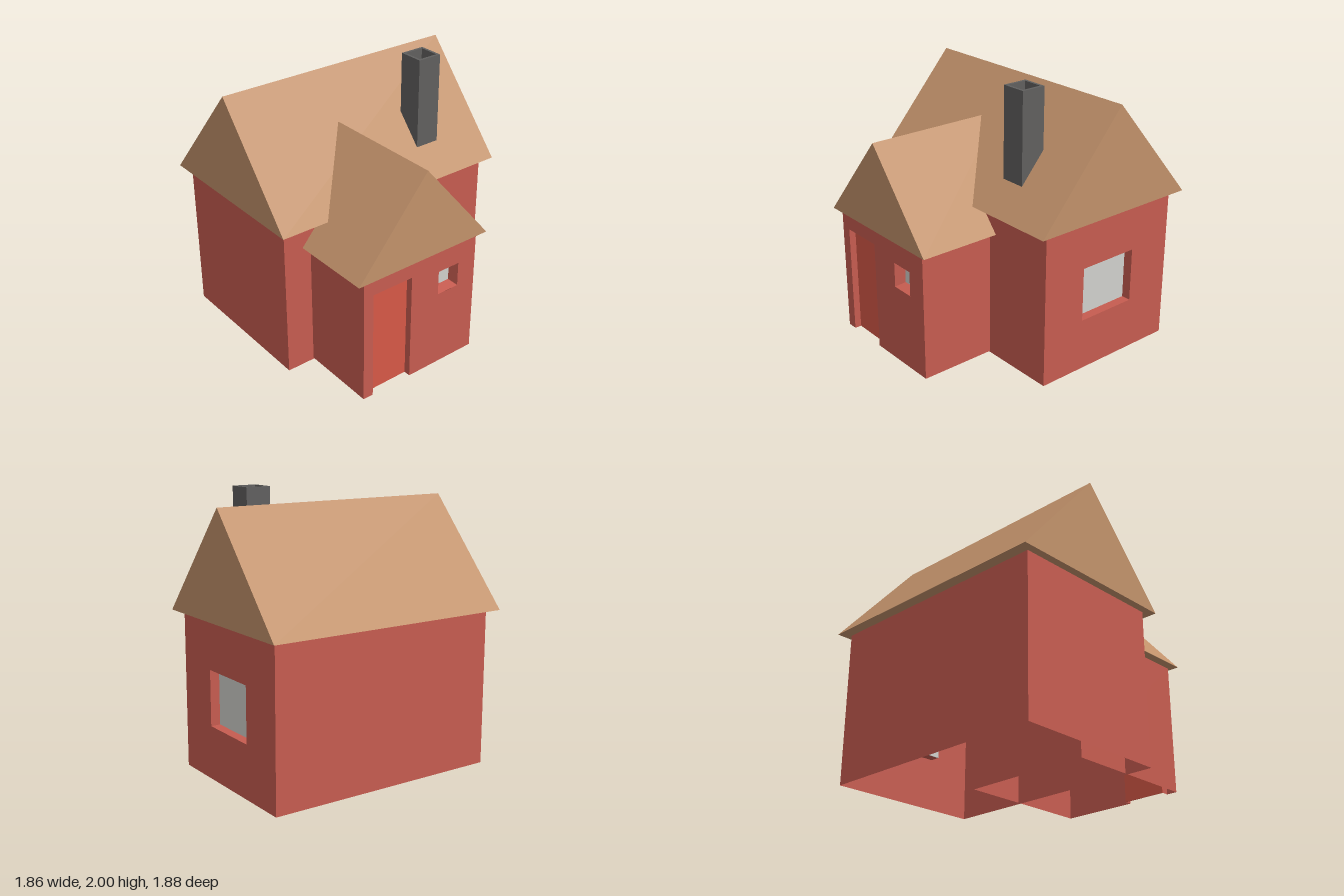
import * as THREE from 'three';

const mat = (name, color, side = THREE.FrontSide) => {
  const m = new THREE.MeshStandardMaterial({ color, side });
  m.name = name;
  return m;
};

const points = (list) => list.map(([x, y]) => new THREE.Vector2(x, y));
const rect = (x0, y0, x1, y1) => points([[x0, y0], [x1, y0], [x1, y1], [x0, y1]]);

// Outline with one rectangular hole
function holedShape(outline, hole) {
  const shape = new THREE.Shape(outline);
  shape.holes.push(new THREE.Path(rect(...hole)));
  return shape;
}

// Gable prism along z; the far end leans back slightly at the ridge
function gable(halfWidth, height, length, lean) {
  const shape = new THREE.Shape(points([[-halfWidth, 0], [halfWidth, 0], [0, height]]));
  const geo = new THREE.ExtrudeGeometry(shape, { depth: length, bevelEnabled: false });
  const p = geo.attributes.position;
  for (let i = 0; i < p.count; i++) {
    if (p.getY(i) > height - 0.001 && p.getZ(i) > length - 0.001) p.setZ(i, length - lean);
  }
  geo.computeVertexNormals();
  return geo;
}

// Box given by its min and max corners
function block(x0, y0, z0, x1, y1, z1) {
  return new THREE.BoxGeometry(x1 - x0, y1 - y0, z1 - z0)
    .translate((x0 + x1) / 2, (y0 + y1) / 2, (z0 + z1) / 2);
}

// Box with only the chosen sides: right, left, top, bottom, front, back
const SIDES = ['right', 'left', 'top', 'bottom', 'front', 'back'];
function openBlock(corners, sides) {
  const geo = block(...corners);
  const index = Array.from(geo.index.array);
  geo.setIndex(sides.flatMap((s) => {
    const start = SIDES.indexOf(s) * 6;
    return index.slice(start, start + 6);
  }));
  geo.clearGroups();
  return geo;
}

export function createModel() {
  const house = new THREE.Group();
  house.name = 'house';
  const wall = mat('wall red', 0xc65c50, THREE.DoubleSide);
  const roof = mat('roof tan', 0xc1916a);
  const doorRed = mat('door red', 0xd65847);
  const stone = mat('chimney grey', 0x605f5e);
  const glass = mat('window grey', 0xd0d0cc);
  const add = (name, geo, material) => {
    const m = new THREE.Mesh(geo, material);
    m.name = name;
    house.add(m);
  };

  // Main block: hollow shell without a floor, window set into the back
  add('mainWalls', openBlock([-0.85, 0, -0.885, 0.32, 1.14, 0.885],
    ['right', 'left', 'top', 'front']), wall);
  add('backWall', new THREE.ShapeGeometry(
    holedShape(rect(-0.85, 0, 0.32, 1.14), [-0.5, 0.385, -0.03, 0.785]))
    .translate(0, 0, -0.885), wall);
  add('backWindowReveal', openBlock([-0.5, 0.385, -0.885, -0.03, 0.785, -0.815],
    ['right', 'left', 'top', 'bottom']), wall);
  add('backWindow', block(-0.5, 0.385, -0.815, -0.03, 0.785, -0.809), glass);
  add('mainRoof', gable(0.665, 0.77, 1.88, 0.01).translate(-0.265, 1.14, -0.94), roof);

  // Side wing: second hollow shell running into the main block
  add('wingWalls', openBlock([-0.13, 0.01, -0.31, 0.895, 0.96, 0.672],
    ['left', 'top', 'front', 'back']), wall);
  const doorway = points([[-0.672, 0.01], [-0.593, 0.01], [-0.593, 0.828], [-0.265, 0.828],
    [-0.265, 0.01], [0.31, 0.01], [0.31, 0.96], [-0.672, 0.96]]);
  add('wingEndWall', new THREE.ShapeGeometry(holedShape(doorway, [-0.024, 0.592, 0.156, 0.776]))
    .rotateY(Math.PI / 2).translate(0.895, 0, 0), wall);
  add('doorReveal', openBlock([0.845, 0.01, 0.265, 0.895, 0.828, 0.593],
    ['top', 'front', 'back']), wall);
  add('door', block(0.839, 0.01, 0.265, 0.845, 0.828, 0.593), doorRed);
  add('wingRoof', gable(0.556, 0.65, 1.088, 0.006).rotateY(Math.PI / 2)
    .translate(-0.16, 0.96, 0.181), roof);

  // Wing window with splayed reveals
  const r = Math.SQRT2;
  const splay = new THREE.CylinderGeometry(0.091 * r, 0.077 * r, 0.08, 4, 1, true, Math.PI / 4)
    .rotateZ(-Math.PI / 2).toNonIndexed();
  splay.computeVertexNormals();
  add('wingWindowReveal', splay.translate(0.855, 0.684, -0.066), wall);
  add('wingWindow', block(0.809, 0.607, -0.143, 0.815, 0.761, 0.011), glass);

  // Chimney with a hollow top
  add('chimneyStack', block(0.04, 1.3, -0.533, 0.227, 1.75, -0.345), stone);
  add('chimneyRim', new THREE.ExtrudeGeometry(
    holedShape(rect(0.04, 0.345, 0.227, 0.533), [0.06, 0.365, 0.207, 0.513]),
    { depth: 0.25, bevelEnabled: false }).rotateX(-Math.PI / 2).translate(0, 1.75, 0), stone);

  return house;
}
